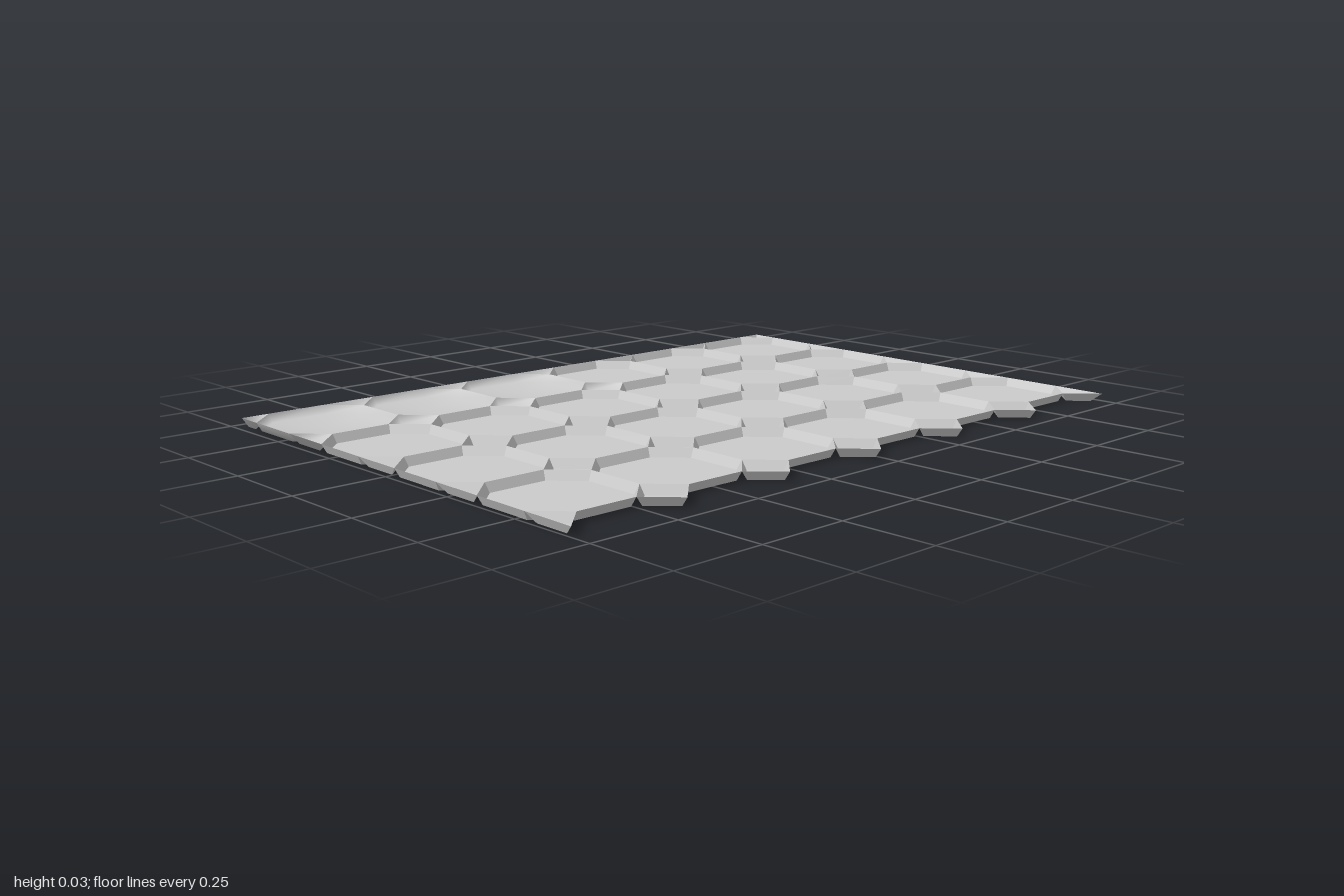
import * as THREE from 'three';
import { mergeVertices } from 'three/addons/utils/BufferGeometryUtils.js';

const PITCH = 0.331, CUT = 0.08;          // tile spacing, half diagonal of the small squares
const COLS = 6, ROWS = 4;
const HALF_X = 0.993, BACK_Z = -0.703;
const RIM = 0.029, FLOOR = 0.005, SLOPE = 0.012;

const crisp = new THREE.MeshStandardMaterial({
  color: 0xcccccc, side: THREE.DoubleSide, flatShading: true,
});
const soft = new THREE.MeshStandardMaterial({ color: 0xcccccc, side: THREE.DoubleSide });

// Shrinks a convex outline of [x, z] points by d
function inset(points, d) {
  const n = points.length;
  const normal = (a, b) => {
    const dx = b[0] - a[0], dz = b[1] - a[1], l = Math.hypot(dx, dz);
    return [-dz / l, dx / l];
  };
  return points.map((p, i) => {
    const a = normal(points[(i + n - 1) % n], p);
    const b = normal(p, points[(i + 1) % n]);
    const k = d / (1 + a[0] * b[0] + a[1] * b[1]);
    return [p[0] + k * (a[0] + b[0]), p[1] + k * (a[1] + b[1])];
  });
}

const mean = (points, k) => points.reduce((s, p) => s + p[k], 0) / points.length;

// Shallow pan: sides slope in from the shared rim down to a flat plate
function panTile(name, outline, material) {
  const rim = outline.map(([x, z]) => [x, RIM, z]);
  const plate = inset(outline, SLOPE).map(([x, z]) => [x, FLOOR, z]);
  const centre = [mean(plate, 0), FLOOR, mean(plate, 2)];
  const pos = rim.flatMap((a, i) => {
    const j = (i + 1) % rim.length, b = rim[j], c = plate[j], d = plate[i];
    return [...a, ...d, ...b, ...b, ...d, ...c, ...centre, ...c, ...d];
  });
  const raw = new THREE.BufferGeometry();
  raw.setAttribute('position', new THREE.Float32BufferAttribute(pos, 3));
  const geometry = mergeVertices(raw);
  geometry.computeVertexNormals();
  const mesh = new THREE.Mesh(geometry, material);
  mesh.name = name;
  return mesh;
}

export function createModel() {
  const group = new THREE.Group();
  group.name = 'tiledPanel';

  // Octagonal tiles; three at the back are softly shaded
  const h = PITCH / 2, s = h - CUT;
  for (let r = 0; r < ROWS; r++) {
    for (let c = 0; c < COLS; c++) {
      const x = -HALF_X + (c + 0.5) * PITCH, z = BACK_Z + (r + 0.5) * PITCH;
      const outline = [[h, -s], [h, s], [s, h], [-s, h], [-h, s], [-h, -s], [-s, -h], [s, -h]]
        .map(([a, b]) => [x + a, z + b]);
      group.add(panTile('octagonTile', outline, r === 0 && c < 3 ? soft : crisp));
    }
  }

  // Small diamond tiles at the corners, trimmed at the back and the sides
  for (let r = 0; r <= ROWS; r++) {
    for (let c = 0; c <= COLS; c++) {
      const x = -HALF_X + c * PITCH, z = BACK_Z + r * PITCH;
      const outline = [[x + CUT, z], [x, z + CUT], [x - CUT, z], [x, z - CUT]]
        .filter(([a, b]) => Math.abs(a) < HALF_X + 0.001 && b > BACK_Z - 0.001);
      if (outline.length === 2) outline.push([x, z]);
      const mx = mean(outline, 0), mz = mean(outline, 1);
      const angle = (p) => Math.atan2(p[1] - mz, p[0] - mx);
      outline.sort((a, b) => angle(a) - angle(b));
      group.add(panTile('diamondTile', outline, r < 2 && c < 4 ? soft : crisp));
    }
  }

  // The panel lies very slightly turned and tilted
  group.rotation.set(0.002, -0.01, 0);
  return group;
}
